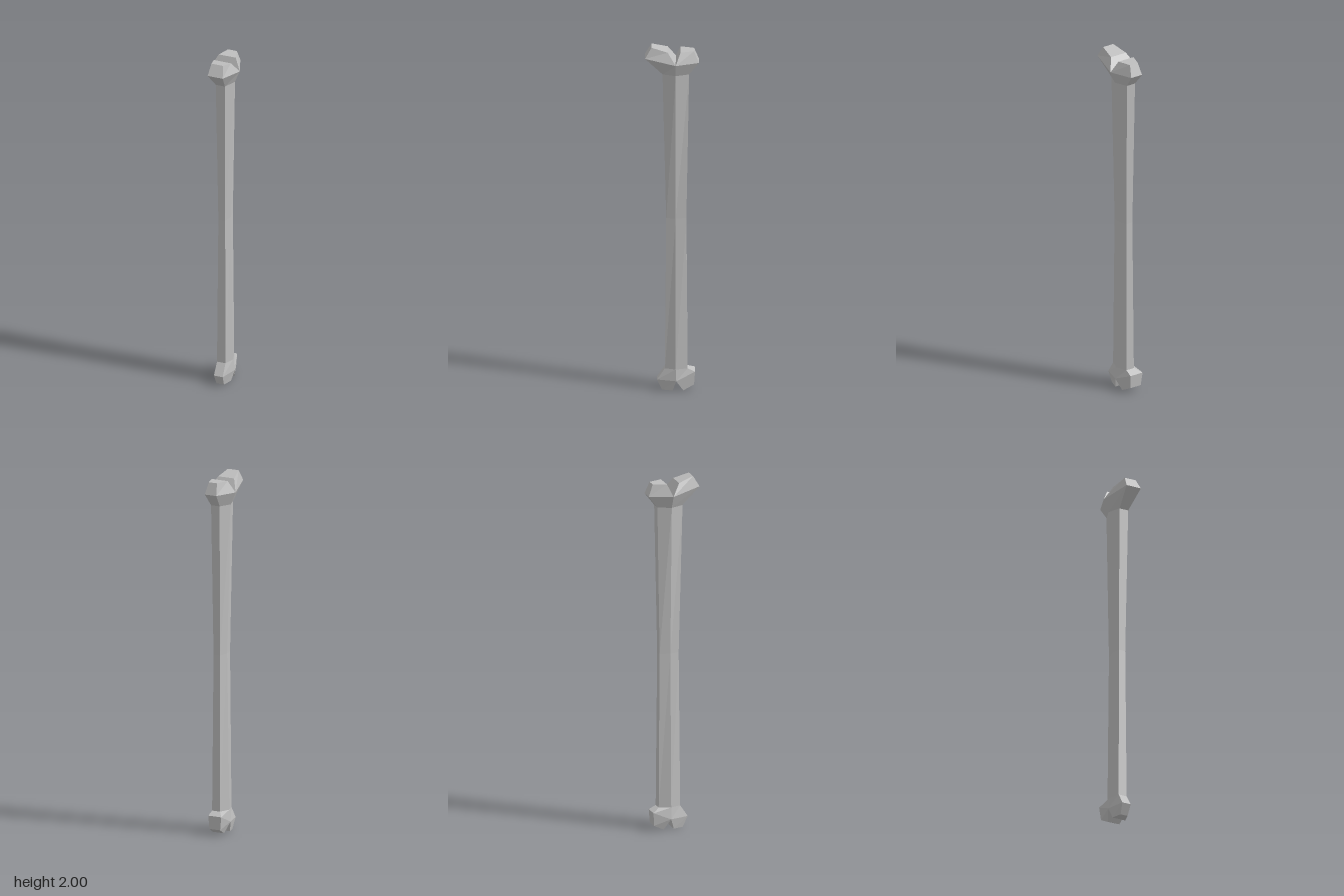
import * as THREE from 'three';

// Four-sided ring: two ridge corners (rx, ry, rz) and two outer corners (xL..xR, oy, oz).
function ring(rx, ry, rz, xL, xR, oy, oz) {
  const corners = [[-rx, ry, rz], [xL, oy, oz], [xR, oy, oz], [rx, ry, rz]];
  return oz < rz ? corners.reverse() : corners; // keep counterclockwise from above
}

// Skins rings from bottom to top. innerWalls lists the segments closed on the ridge side.
function loft(rings, innerWalls, capBottom, capTop) {
  const pos = [];
  const quad = (a, b, c, d) => pos.push(...a, ...b, ...c, ...a, ...c, ...d);
  for (let s = 0; s < rings.length - 1; s++) {
    const a = rings[s], b = rings[s + 1];
    const sides = innerWalls.includes(s) ? 4 : 3;
    for (let i = 0; i < sides; i++) {
      const j = (i + 1) % 4;
      quad(a[i], a[j], b[j], b[i]);
    }
  }
  if (capBottom) quad(...[...rings[0]].reverse());
  if (capTop) quad(...rings[rings.length - 1]);
  const geometry = new THREE.BufferGeometry();
  geometry.setAttribute('position', new THREE.Float32BufferAttribute(pos, 3));
  geometry.computeVertexNormals();
  return geometry;
}

export function createModel() {
  const model = new THREE.Group();
  model.name = 'bone';
  const bone = new THREE.MeshStandardMaterial({ color: 0xbebebe, flatShading: true });
  bone.name = 'boneGrey';

  // Rings of each half: lower end, lower bulge, shaft bottom, waist, shaft top, upper bulge, upper end
  const halves = {
    Front: [
      ring(0.04, 0, -0.005, -0.022, 0.022, 0, 0.053),
      ring(0.055, 0.06, -0.025, -0.026, 0.026, 0.06, 0.08),
      ring(0.046, 0.125, -0.022, -0.025, 0.025, 0.125, 0.037),
      ring(0.032, 1.0, -0.022, -0.02, 0.02, 1.0, 0.03),
      ring(0.055, 1.84, -0.022, -0.027, 0.027, 1.84, 0.05),
      ring(0.085, 1.91, -0.022, -0.036, 0.053, 1.94, 0.145),
      ring(0.05, 1.975, 0.022, -0.028, 0.04, 2.0, 0.11),
    ],
    Back: [
      ring(0.036, 0, -0.063, -0.046, 0.022, 0.03, -0.122),
      ring(0.055, 0.06, -0.025, -0.055, 0.026, 0.105, -0.127),
      ring(0.046, 0.125, -0.022, -0.025, 0.025, 0.125, -0.087),
      ring(0.032, 1.0, -0.022, -0.02, 0.02, 1.0, -0.08),
      ring(0.055, 1.84, -0.022, -0.027, 0.027, 1.84, -0.095),
      ring(0.085, 1.91, -0.022, -0.036, 0.036, 1.91, -0.148),
      ring(0.05, 1.975, -0.048, -0.026, 0.026, 1.975, -0.122),
    ],
  };

  const add = (name, geometry) => {
    const mesh = new THREE.Mesh(geometry, bone);
    mesh.name = name;
    model.add(mesh);
  };

  // Each half has a lower knob, a length of shaft and an upper knob
  for (const [side, rings] of Object.entries(halves)) {
    add('lowerKnob' + side, loft(rings.slice(0, 3), [0], true, false));
    add('shaft' + side, loft(rings.slice(2, 5), [], false, false));
    add('upperKnob' + side, loft(rings.slice(4), [1], false, true));
  }
  return model;
}
